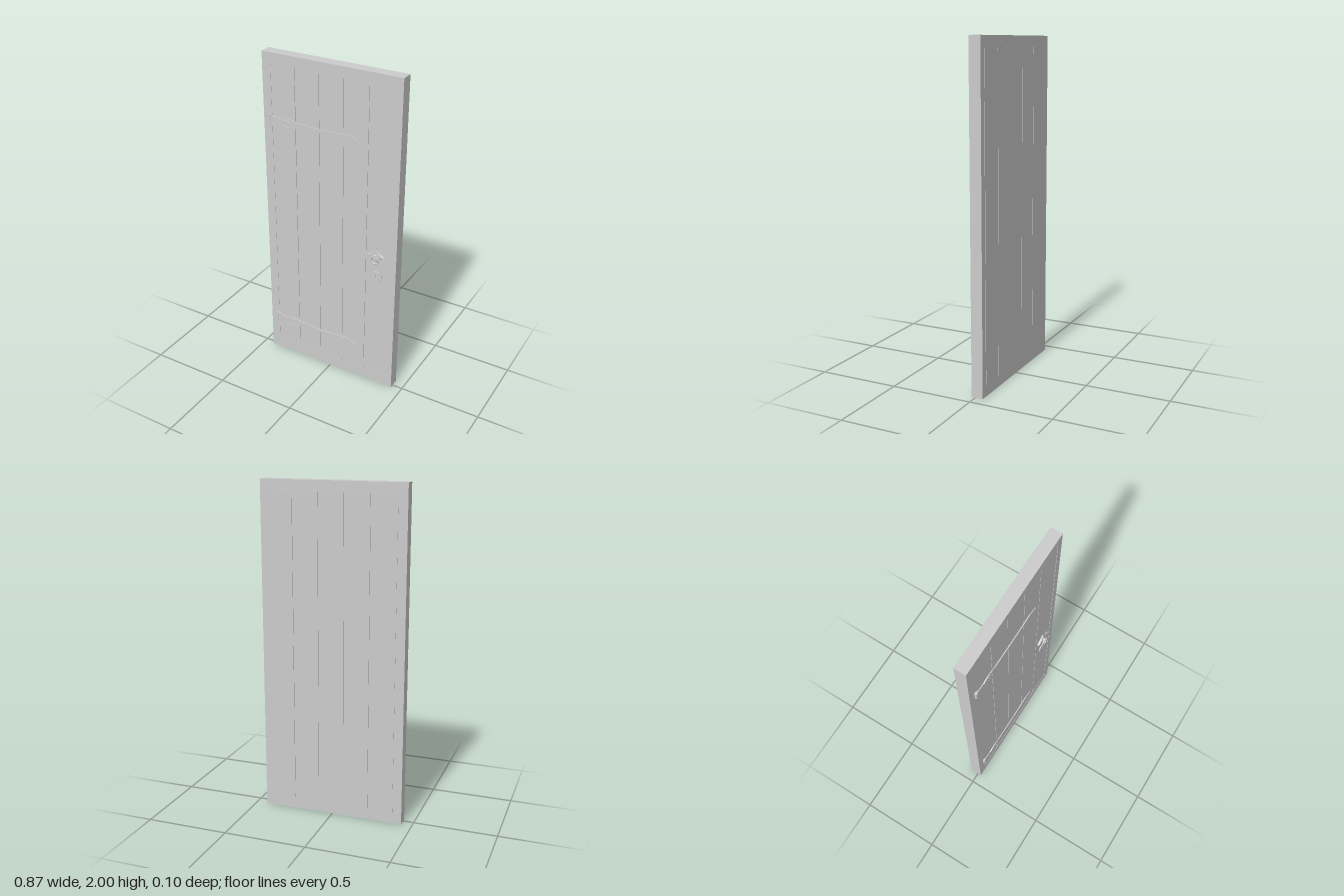
import * as THREE from 'three';

const grey = new THREE.MeshStandardMaterial({ color: 0xcccccc, flatShading: true });

function add(parent, name, geometry, x = 0, y = 0, z = 0) {
  const mesh = new THREE.Mesh(geometry, grey);
  mesh.name = name;
  mesh.position.set(x, y, z);
  parent.add(mesh);
  return mesh;
}

const toPath = (pts, Type = THREE.Shape) => new Type(pts.map(([x, y]) => new THREE.Vector2(x, y)));

const rect = (x0, y0, x1, y1) => [[x0, y0], [x1, y0], [x1, y1], [x0, y1]];

const plate = (shape, depth, bevel = 0) => new THREE.ExtrudeGeometry(shape, {
  depth: depth - bevel, curveSegments: 6, bevelEnabled: bevel > 0,
  bevelThickness: bevel, bevelSize: bevel, bevelOffset: -bevel, bevelSegments: 1,
});

// Wrought strap with pierced crescents and a rolled knuckle at the jamb end
function makeHinge(y) {
  const hinge = new THREE.Group();
  hinge.name = 'strapHinge';
  hinge.position.y = y;
  const top = [[-0.385, 0.03], [-0.365, 0.028], [-0.32, 0.016], [-0.295, 0.026], [-0.27, 0.03],
    [-0.24, 0.026], [-0.215, 0.017], [-0.07, 0.011], [0.05, 0.013], [0.125, 0.02]];
  const bottom = top.map(([x, h]) => [x, -h]).reverse();
  const strap = toPath([...bottom, ...top.map(([x, h]) => [x, h]), [0.183, 0]].reverse());
  for (const s of [1, -1]) {
    strap.holes.push(toPath([[-0.315, 0.012], [-0.27, 0.02], [-0.225, 0.014], [-0.27, 0.015]]
      .map(([x, h]) => [x, h * s]), THREE.Path));
  }
  add(hinge, 'strap', plate(strap, 0.006), 0, 0, 0.028);
  add(hinge, 'knuckle', new THREE.CylinderGeometry(0.008, 0.008, 0.066, 10), -0.389, 0, 0.03);
  add(hinge, 'knuckleLeaf', new THREE.BoxGeometry(0.018, 0.06, 0.009), -0.385, 0, 0.027);
  return hinge;
}

// Four-pointed backplate carrying a hanging ring
function makeHandle() {
  const handle = new THREE.Group();
  handle.name = 'ringHandle';
  handle.position.set(0.308, 0.915, 0.0225);
  const star = new THREE.Shape();
  star.moveTo(0, 0.054);
  star.quadraticCurveTo(-0.014, 0.022, -0.053, 0.002);
  star.quadraticCurveTo(-0.02, -0.014, 0, -0.045);
  star.quadraticCurveTo(0.02, -0.014, 0.053, 0.002);
  star.quadraticCurveTo(0.014, 0.022, 0, 0.054);
  add(handle, 'backplate', plate(star, 0.011, 0.003));
  const boss = add(handle, 'boss', new THREE.CylinderGeometry(0.01, 0.014, 0.014, 12), 0, 0.002, 0.015);
  boss.rotation.x = Math.PI / 2;
  add(handle, 'ring', new THREE.TorusGeometry(0.024, 0.005, 8, 24), 0, -0.02, 0.02);
  add(handle, 'ringClasp', new THREE.BoxGeometry(0.014, 0.014, 0.011), 0, 0.004, 0.02);
  add(handle, 'ringDrop', new THREE.SphereGeometry(0.007, 10, 6), 0, -0.044, 0.0185);
  return handle;
}

// Octagonal keyhole plate
function makeEscutcheon() {
  const shape = toPath([[-0.032, -0.018], [-0.018, -0.034], [0.018, -0.034], [0.032, -0.018],
    [0.032, 0.018], [0.018, 0.034], [-0.018, 0.034], [-0.032, 0.018]]);
  shape.holes.push(toPath([[-0.005, -0.012], [0.005, -0.012], [0.003, 0], [0.005, 0.008],
    [0, 0.012], [-0.005, 0.008], [-0.003, 0]], THREE.Path));
  return plate(shape, 0.006);
}

export function createModel() {
  const door = new THREE.Group();
  door.name = 'door';

  // Outer frame around the plank field
  const left = -0.38, right = 0.395, low = 0.07, high = 1.935;
  const frame = toPath(rect(-0.435, 0, 0.435, 2));
  frame.holes.push(toPath(rect(left, low, right, high), THREE.Path));
  add(door, 'frame', plate(frame, 0.0705), 0, 0, -0.048);

  // Planks sit slightly back from the frame, with fine grooves between them
  const count = 5, pitch = (right - left) / count, gap = 0.003;
  const midY = (low + high) / 2, height = high - low;
  add(door, 'core', new THREE.BoxGeometry(right - left, height, 0.062), (left + right) / 2, midY, -0.0145);
  for (let i = 0; i < count; i++) {
    const x0 = left + i * pitch + (i > 0 ? gap / 2 : 0);
    const x1 = left + (i + 1) * pitch - (i < count - 1 ? gap / 2 : 0);
    add(door, 'plank', new THREE.BoxGeometry(x1 - x0, height, 0.071), (x0 + x1) / 2, midY, -0.015);
  }

  for (const y of [1.606, 0.247]) door.add(makeHinge(y));
  door.add(makeHandle());
  add(door, 'escutcheon', makeEscutcheon(), 0.312, 0.775, 0.0225);
  return door;
}
